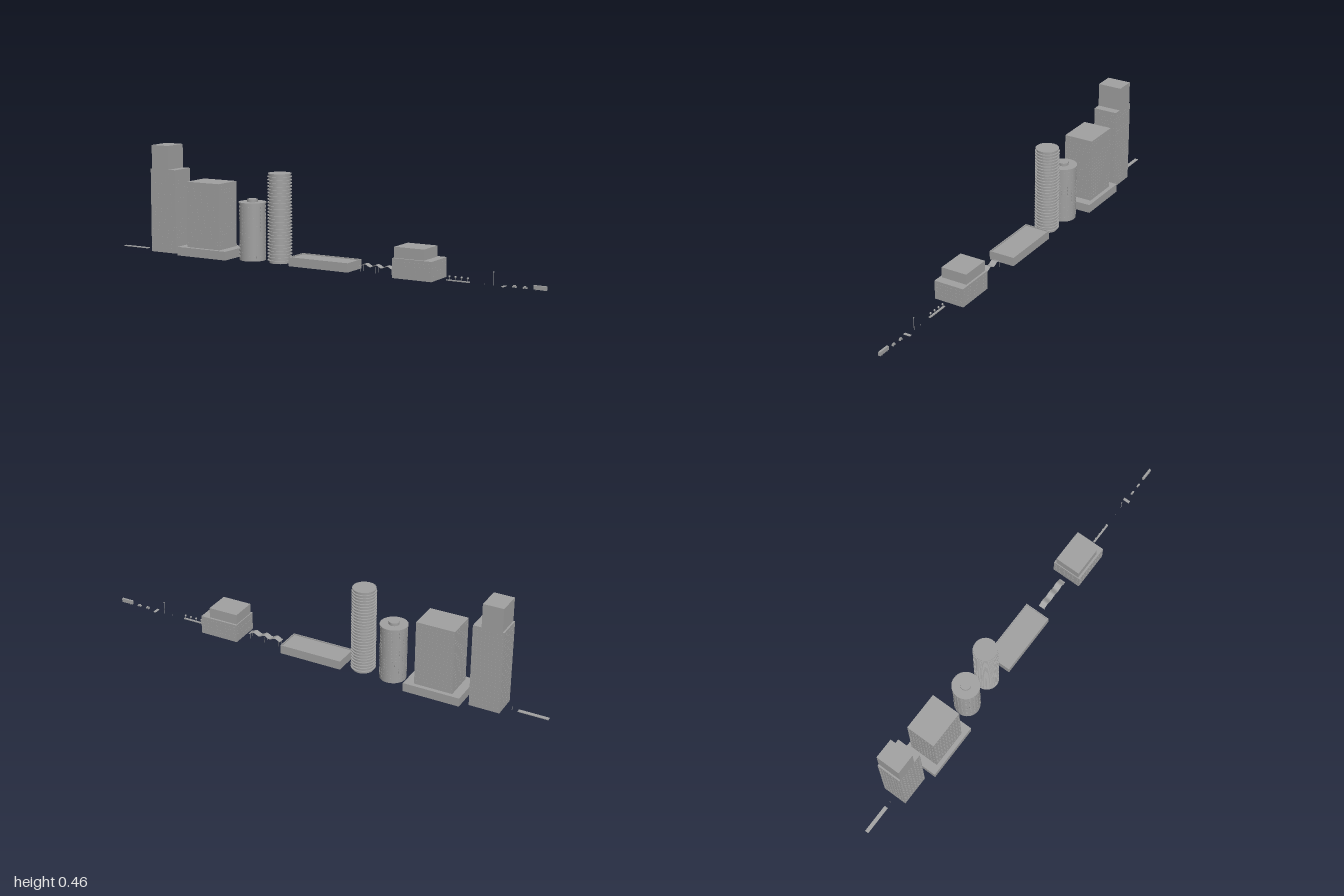
import * as THREE from 'three';
import { mergeGeometries } from 'three/addons/utils/BufferGeometryUtils.js';

export function createModel() {
  const city = new THREE.Group();
  city.name = 'cityKit';
  const grey = new THREE.MeshStandardMaterial({ color: 0xa0a0a0 });
  grey.name = 'concrete grey';

  const group = (name) => {
    const g = new THREE.Group();
    g.name = name;
    city.add(g);
    return g;
  };
  const add = (parent, name, geometry) => {
    const m = new THREE.Mesh(geometry, grey);
    m.name = name;
    parent.add(m);
    return m;
  };
  // Box given by its x, y and z limits
  const block = (x0, x1, y0, y1, z0, z1) =>
    new THREE.BoxGeometry(x1 - x0, y1 - y0, z1 - z0)
      .translate((x0 + x1) / 2, (y0 + y1) / 2, (z0 + z1) / 2);
  const drum = (x, y0, y1, r, sides = 32) =>
    new THREE.CylinderGeometry(r, r, y1 - y0, sides).translate(x, (y0 + y1) / 2, 0);

  // Rows of thin panes on all four walls of a box
  const windows = (x0, x1, y0, y1, d, colsX, colsZ, rows) => {
    const panes = [];
    const t = 0.0016;
    const h = ((y1 - y0) / rows) * 0.5;
    for (let r = 0; r < rows; r++) {
      const y = y0 + ((r + 0.5) * (y1 - y0)) / rows;
      for (const s of [-1, 1]) {
        for (let c = 0; c < colsX; c++) {
          const w = (x1 - x0) / colsX;
          panes.push(new THREE.BoxGeometry(w * 0.5, h, t).translate(x0 + (c + 0.5) * w, y, s * d));
        }
        for (let c = 0; c < colsZ; c++) {
          const w = (2 * d) / colsZ;
          panes.push(new THREE.BoxGeometry(t, h, w * 0.5)
            .translate(s < 0 ? x0 : x1, y, -d + (c + 0.5) * w));
        }
      }
    }
    return mergeGeometries(panes);
  };

  // Road strip and small marker post
  const road = group('road');
  add(road, 'roadSurface', block(-1, -0.872, 0, 0.003, -0.008, 0.008));
  add(road, 'markerPost', block(-0.847, -0.845, 0, 0.012, -0.001, 0.001));

  // Stepped tower
  const stepped = group('steppedTower');
  add(stepped, 'lowerShaft', block(-0.814, -0.684, 0, 0.36, -0.053, 0.053));
  add(stepped, 'upperShaft', block(-0.807, -0.72, 0.36, 0.462, -0.053, 0.053));
  add(stepped, 'lowerWindows', windows(-0.814, -0.684, 0.01, 0.35, 0.053, 8, 7, 22));

  // Office slab on a podium
  const office = group('officeTower');
  add(office, 'podium', block(-0.655, -0.41, 0, 0.037, -0.083, 0.083));
  add(office, 'shaft', block(-0.617, -0.451, 0.037, 0.317, -0.065, 0.065));
  add(office, 'windows', windows(-0.617, -0.451, 0.045, 0.31, 0.065, 10, 8, 18));

  // Round tower with rooftop drum
  const round = group('roundTower');
  const rx = -0.326;
  add(round, 'shaft', drum(rx, 0, 0.24, 0.055));
  add(round, 'roofRim', drum(rx, 0.24, 0.245, 0.058));
  add(round, 'roofDrum', drum(rx, 0.245, 0.257, 0.022, 24));
  const panes = [];
  for (let r = 0; r < 14; r++) {
    for (let c = 0; c < 20; c++) {
      panes.push(new THREE.BoxGeometry(0.007, 0.008, 0.0016).translate(0, 0, 0.055)
        .rotateY((c / 20) * Math.PI * 2).translate(rx, 0.017 + r * 0.016, 0));
    }
  }
  add(round, 'windows', mergeGeometries(panes));

  // Round tower ringed with balconies
  const balcony = group('balconyTower');
  const bx = -0.191;
  add(balcony, 'shaft', drum(bx, 0, 0.37, 0.044));
  for (let i = 0; i < 27; i++) {
    const y = 0.01 + i * 0.0134;
    add(balcony, 'balconyRing', drum(bx, y, y + 0.003, 0.0515));
  }
  add(balcony, 'roof', drum(bx, 0.37, 0.374, 0.049));

  // Low hall with a parapet
  const hall = group('lowHall');
  add(hall, 'body', block(-0.114, 0.166, 0, 0.033, -0.057, 0.057));
  for (const s of [-1, 1]) {
    add(hall, 'longParapet', block(-0.114, 0.166, 0.033, 0.038, s * 0.055 - 0.002, s * 0.055 + 0.002));
    const x = 0.026 + s * 0.138;
    add(hall, 'endParapet', block(x - 0.002, x + 0.002, 0.033, 0.038, -0.053, 0.053));
  }

  // Wavy canopy on slim posts
  const canopy = group('wavyCanopy');
  const roof = new THREE.BoxGeometry(0.152, 0.0016, 0.028, 48, 1, 1);
  const p = roof.attributes.position;
  for (let i = 0; i < p.count; i++) {
    p.setY(i, p.getY(i) + 0.028 + 0.005 * Math.cos((p.getX(i) / 0.152) * Math.PI * 6));
  }
  roof.computeVertexNormals();
  add(canopy, 'canopyRoof', roof.translate(0.27, 0, 0));
  for (const x of [0.2, 0.27, 0.34]) {
    for (const z of [-0.011, 0.011]) {
      add(canopy, 'post', new THREE.CylinderGeometry(0.001, 0.001, 0.026, 6).translate(x, 0.013, z));
    }
  }

  // Two-tier building
  const tier = group('tieredBuilding');
  add(tier, 'lowerTier', block(0.373, 0.546, 0, 0.08, -0.066, 0.066));
  add(tier, 'upperTier', block(0.377, 0.509, 0.08, 0.124, -0.057, 0.057));
  add(tier, 'lowerWindows', windows(0.373, 0.546, 0.01, 0.072, 0.066, 8, 6, 4));

  // Planted strip with four trees
  const trees = group('treeRow');
  add(trees, 'planter', block(0.578, 0.678, 0, 0.004, -0.004, 0.004));
  for (let i = 0; i < 4; i++) {
    const x = 0.591 + i * 0.0265;
    add(trees, 'trunk', drum(x, 0.004, 0.014, 0.001, 6));
    add(trees, 'crown', new THREE.IcosahedronGeometry(0.0045, 1).translate(x, 0.017, 0));
  }

  // Bollard, street lamp and crossing
  const street = group('streetFurniture');
  add(street, 'bollard', drum(0.741, 0, 0.004, 0.001, 6));
  add(street, 'lampPole', drum(0.78, 0, 0.052, 0.0011, 8));
  add(street, 'lampHead', block(0.7775, 0.7825, 0.051, 0.0535, -0.0015, 0.0015));
  add(street, 'crossing', block(0.817, 0.829, 0, 0.002, -0.015, 0.015));

  // Vehicles on wheels
  const vehicle = (name, x, length, height, halfWidth) => {
    const g = group(name);
    const bus = name === 'bus';
    add(g, 'body', block(x - length / 2, x + length / 2, 0.002, bus ? height : 0.006, -halfWidth, halfWidth));
    if (!bus) add(g, 'cabin', block(x - length * 0.28, x + length * 0.25, 0.006, height, -halfWidth * 0.85, halfWidth * 0.85));
    for (const sx of [-1, 1]) {
      for (const sz of [-1, 1]) {
        add(g, 'wheel', new THREE.CylinderGeometry(0.002, 0.002, 0.0012, 12).rotateX(Math.PI / 2)
          .translate(x + sx * length * 0.3, 0.002, sz * halfWidth));
      }
    }
  };
  vehicle('car', 0.867, 0.018, 0.01, 0.0035);
  vehicle('car', 0.911, 0.018, 0.01, 0.0035);
  vehicle('bus', 0.973, 0.054, 0.018, 0.0045);

  return city;
}
